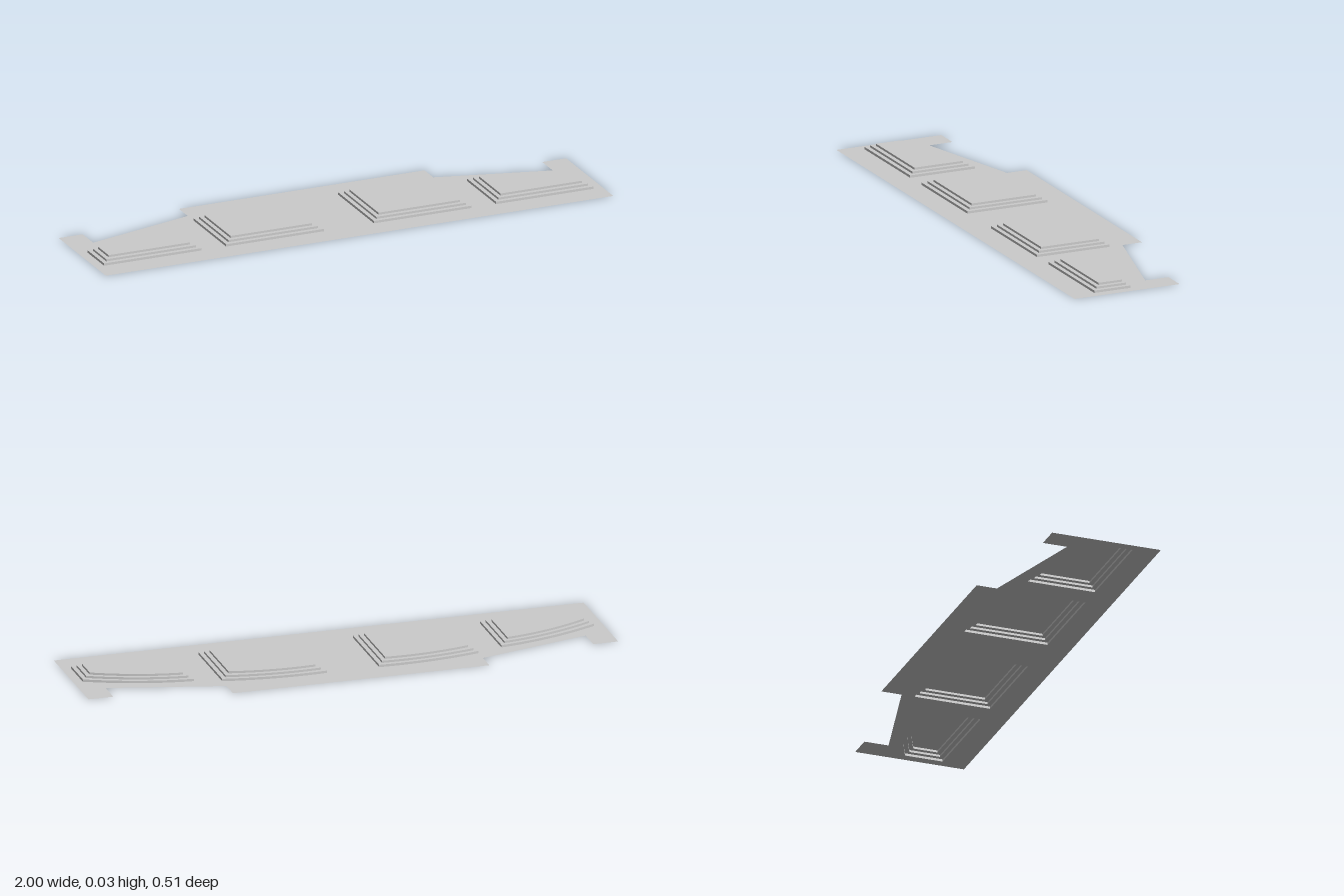
import * as THREE from 'three';

const material = new THREE.MeshStandardMaterial({ color: 0xcccccc, side: THREE.DoubleSide, flatShading: true });
const TIER_HEIGHTS = [0, 0.009, 0.017, 0.025];
const CURVE_STEPS = 10;

// Each tier: straight sides at x0 and x1, front edge, and an arched back edge (z0, control, z1).
const innerTiers = [
  { x0: 0.099, x1: 0.484, front: 0.162, z0: -0.158, mid: -0.17, z1: -0.127 },
  { x0: 0.115, x1: 0.468, front: 0.146, z0: -0.142, mid: -0.154, z1: -0.115 },
  { x0: 0.131, x1: 0.452, front: 0.13, z0: -0.126, mid: -0.138, z1: -0.1 },
];
const outerTiers = [
  { x0: 0.58, x1: 0.965, front: 0.162, z0: -0.096, mid: -0.077, z1: 0.017 },
  { x0: 0.596, x1: 0.949, front: 0.146, z0: -0.079, mid: -0.061, z1: 0.028 },
  { x0: 0.612, x1: 0.933, front: 0.13, z0: -0.063, mid: -0.045, z1: 0.037 },
];

// Outline in plan, as Vector2(x, -z), counter-clockwise seen from above
function tierOutline({ x0, x1, front, z0, mid, z1 }, side) {
  const arch = new THREE.QuadraticBezierCurve(
    new THREE.Vector2(x1, -z1),
    new THREE.Vector2((x0 + x1) / 2, -mid),
    new THREE.Vector2(x0, -z0),
  );
  const points = [new THREE.Vector2(x0, -front), new THREE.Vector2(x1, -front), ...arch.getPoints(CURVE_STEPS)];
  points.forEach((p) => { p.x *= side; });
  return side < 0 ? points.reverse() : points;
}

function addMesh(parent, name, geometry) {
  const mesh = new THREE.Mesh(geometry, material);
  mesh.name = name;
  parent.add(mesh);
}

// Flat horizontal face with optional openings
function flatFace(outline, y, holes = []) {
  const shape = new THREE.Shape(outline);
  shape.holes = holes.map((points) => new THREE.Path(points));
  return new THREE.ShapeGeometry(shape).rotateX(-Math.PI / 2).translate(0, y, 0);
}

// Vertical band following an outline
function wallBand(outline, y0, y1) {
  const positions = [];
  outline.forEach((a, i) => {
    const b = outline[(i + 1) % outline.length];
    positions.push(a.x, y0, -a.y, b.x, y0, -b.y, b.x, y1, -b.y);
    positions.push(a.x, y0, -a.y, b.x, y1, -b.y, a.x, y1, -a.y);
  });
  const geometry = new THREE.BufferGeometry();
  geometry.setAttribute('position', new THREE.Float32BufferAttribute(positions, 3));
  geometry.computeVertexNormals();
  return geometry;
}

// Stepped hollow panel: a wall per tier, topped by a ledge or the final face
function raisedPanel(name, outlines) {
  const panel = new THREE.Group();
  panel.name = name;
  outlines.forEach((outline, i) => {
    const top = TIER_HEIGHTS[i + 1];
    const next = outlines[i + 1];
    addMesh(panel, `tierWall${i + 1}`, wallBand(outline, TIER_HEIGHTS[i], top));
    addMesh(panel, next ? `tierLedge${i + 1}` : 'panelFace', flatFace(outline, top, next ? [next] : []));
  });
  return panel;
}

export function createModel() {
  const model = new THREE.Group();
  model.name = 'panelledSheet';
  const openings = [];

  // Four raised panels, mirrored left and right
  for (const [side, label] of [[1, 'left'], [-1, 'right']]) {
    for (const [kind, tiers] of [['Inner', innerTiers], ['Outer', outerTiers]]) {
      const outlines = tiers.map((tier) => tierOutline(tier, side));
      openings.push(outlines[0]);
      model.add(raisedPanel(`${label}${kind}Panel`, outlines));
    }
  }

  // Thin base sheet with raised centre, sloping shoulders and end tabs
  const half = [[1, 0.257], [1, -0.162], [0.906, -0.162], [0.906, -0.069], [0.484, -0.179], [0.484, -0.257]];
  const right = half.map(([x, z]) => new THREE.Vector2(x, -z));
  const left = half.map(([x, z]) => new THREE.Vector2(-x, -z)).reverse();
  addMesh(model, 'baseSheet', flatFace([...right, ...left], 0, openings));

  return model;
}
